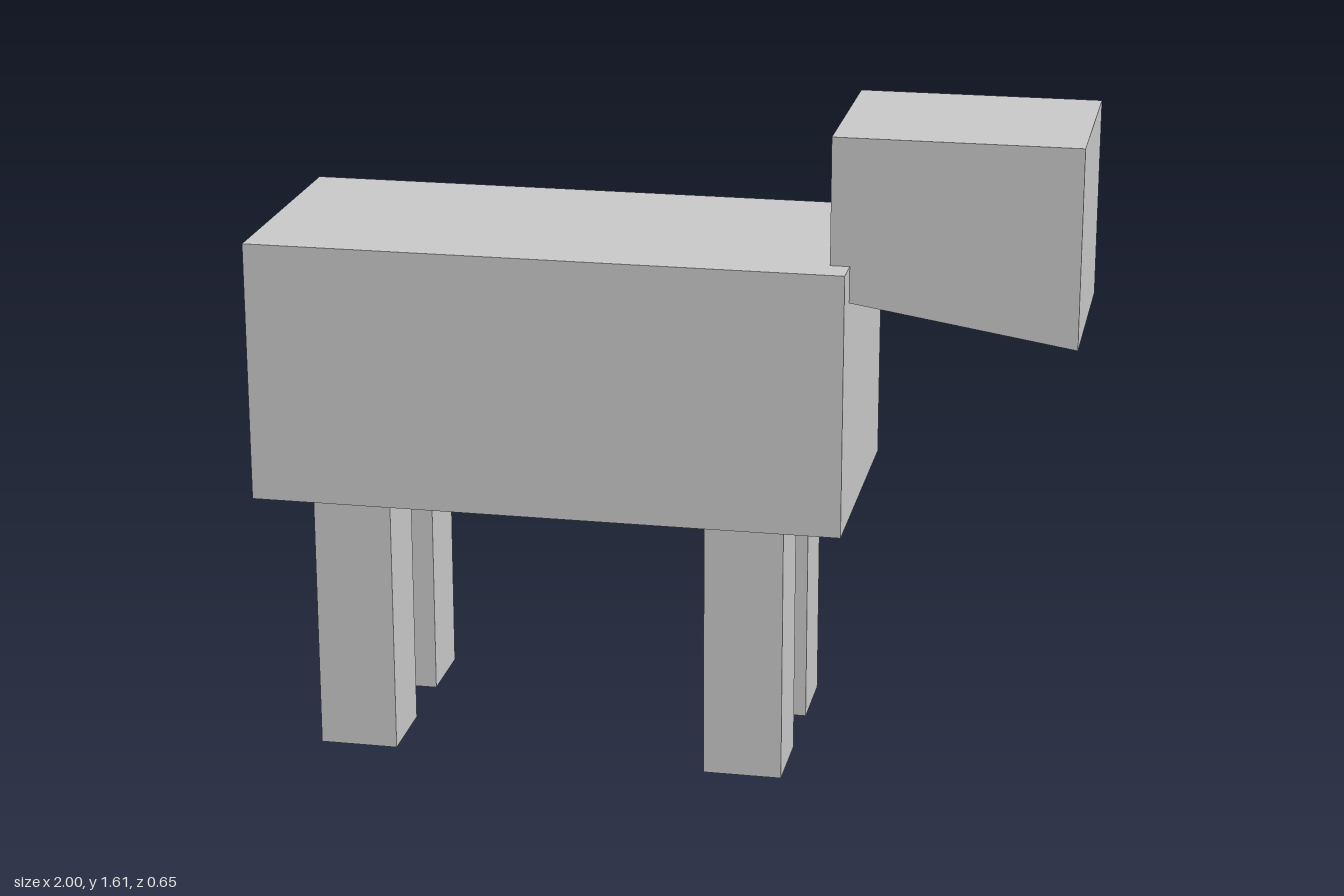
import * as THREE from 'three';

const grey = new THREE.MeshStandardMaterial({ color: 0xc8c8c8 });
grey.name = 'plain grey';

// Box spanning two opposite corners
function block(name, [x0, y0, z0], [x1, y1, z1]) {
  const geometry = new THREE.BoxGeometry(x1 - x0, y1 - y0, z1 - z0);
  geometry.translate((x0 + x1) / 2, (y0 + y1) / 2, (z0 + z1) / 2);
  const mesh = new THREE.Mesh(geometry, grey);
  mesh.name = name;
  return mesh;
}

export function createModel() {
  const group = new THREE.Group();
  group.name = 'blockAnimal';

  group.add(block('body', [-1, 0.652, -0.325], [0.46, 1.302, 0.325]));

  // Head, with the lower corner inside the body pulled up
  const head = block('head', [0.413, 1.127, -0.243], [1, 1.612, 0.243]);
  const p = head.geometry.attributes.position;
  for (let i = 0; i < p.count; i++) {
    if (p.getX(i) < 0.5 && p.getY(i) < 1.3 && p.getZ(i) > 0) p.setY(i, 1.22);
  }
  head.geometry = head.geometry.toNonIndexed();
  head.geometry.computeVertexNormals();
  group.add(head);

  // Four legs
  for (const [end, x] of [['rear', -0.757], ['front', 0.22]]) {
    for (const [side, z] of [['Right', 0.195], ['Left', -0.195]]) {
      group.add(block(`${end}${side}Leg`, [x - 0.097, 0, z - 0.097], [x + 0.097, 0.652, z + 0.097]));
    }
  }
  return group;
}
